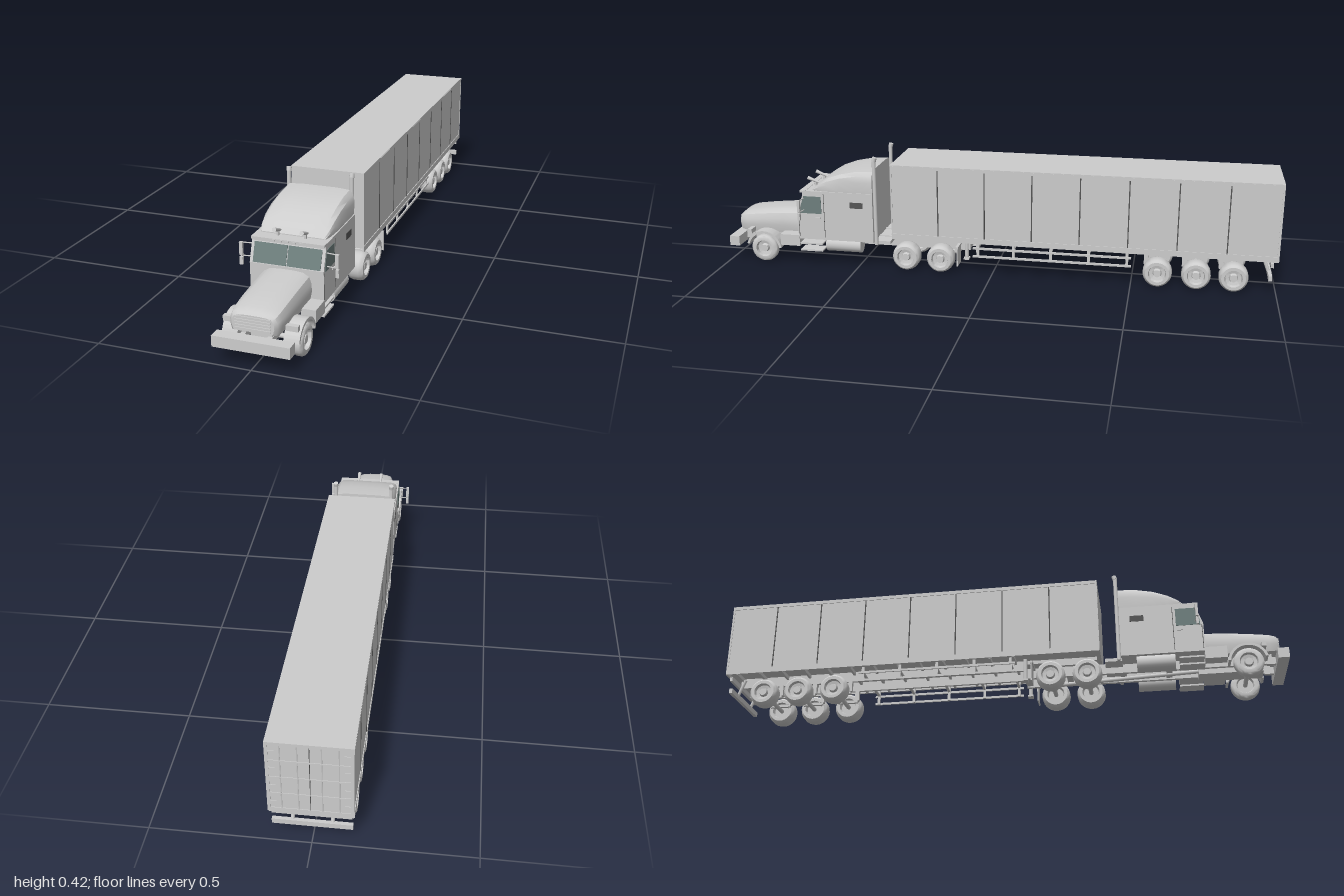
import * as THREE from 'three';
import { mergeVertices, toCreasedNormals } from 'three/addons/utils/BufferGeometryUtils.js';

export function createModel() {
  const truck = new THREE.Group();
  truck.name = 'articulatedTruck';
  const grey = new THREE.MeshStandardMaterial({ color: 0xcccccc });
  grey.name = 'lightGrey';
  const glass = new THREE.MeshStandardMaterial({ color: 0x6e7f7d });
  glass.name = 'tintedGlass';
  const dark = new THREE.MeshStandardMaterial({ color: 0x555555 });
  dark.name = 'darkGrey';

  const add = (name, geo, mat = grey) => {
    const m = new THREE.Mesh(geo, mat);
    m.name = name;
    truck.add(m);
    return m;
  };
  // box given by its extents on each axis
  const box = (name, x0, x1, y0, y1, z0, z1, mat) => add(name,
    new THREE.BoxGeometry(Math.abs(x1 - x0), y1 - y0, z1 - z0)
      .translate((x0 + x1) / 2, (y0 + y1) / 2, (z0 + z1) / 2), mat);
  const pairBox = (name, x0, x1, ...rest) => {
    for (const s of [1, -1]) box(name, s * x0, s * x1, ...rest);
  };
  // round bar between two points
  const rod = (name, a, b, r, sides = 10, mat = grey) => {
    const p = new THREE.Vector3(...a), q = new THREE.Vector3(...b), d = q.clone().sub(p);
    const m = add(name, new THREE.CylinderGeometry(r, r, d.length(), sides), mat);
    m.position.copy(p).add(q).multiplyScalar(0.5);
    m.quaternion.setFromUnitVectors(new THREE.Vector3(0, 1, 0), d.normalize());
    return m;
  };
  // side profile of [z, y] points extruded between two x values
  const slab = (name, pts, x0, x1, mat) => {
    const shape = new THREE.Shape(pts.map(p => new THREE.Vector2(...p)));
    const geo = new THREE.ExtrudeGeometry(shape, { depth: x1 - x0, bevelEnabled: false, curveSegments: 16 });
    return add(name, geo.rotateY(-Math.PI / 2).translate(x1, 0, 0), mat);
  };
  // skin over mirrored half sections; each section is [z, half width, bottom, top]
  const loft = (name, half, sections, crease) => {
    const pos = [], idx = [], n = half.length * 2;
    for (const [z, w, y0, y1] of sections) {
      for (const [u, v] of half) pos.push(u * w, y0 + v * (y1 - y0), z);
      for (const [u, v] of [...half].reverse()) pos.push(-u * w, y0 + v * (y1 - y0), z);
    }
    for (let i = 0; i < sections.length - 1; i++) {
      for (let j = 0; j < n; j++) {
        const a = i * n + j, b = i * n + (j + 1) % n;
        idx.push(a, b, b + n, a, b + n, a + n);
      }
    }
    const last = (sections.length - 1) * n;
    for (let j = 1; j < n - 1; j++) idx.push(0, j + 1, j, last, last + j, last + j + 1);
    const geo = new THREE.BufferGeometry();
    geo.setAttribute('position', new THREE.Float32BufferAttribute(pos, 3));
    geo.setIndex(idx);
    return add(name, toCreasedNormals(mergeVertices(geo), crease));
  };

  // wheels: tyre, recessed rim and hub in one turned profile
  const R = 0.051;
  const wheel = (name, s, x0, x1, z) => {
    const w = x1 - x0, h = w / 2;
    const pts = [[0, -h * 0.5], [0.027, -h * 0.5], [0.031, -h], [0.042, -h], [0.048, -h * 0.8], [R, -h * 0.45],
      [R, h * 0.45], [0.048, h * 0.8], [0.042, h], [0.031, h], [0.028, h - 0.012], [0.016, h - 0.015],
      [0.013, h - 0.004], [0, h - 0.004]].map(p => new THREE.Vector2(...p));
    const geo = toCreasedNormals(new THREE.LatheGeometry(pts, 28), 0.7);
    add(name, geo.rotateZ(-s * Math.PI / 2).translate(s * (x0 + x1) / 2, R, z));
  };
  const axle = (name, x0, z) => {
    for (const s of [1, -1]) wheel(name + 'Wheel', s, x0, 0.122, z);
    rod(name + 'Axle', [-0.1, R, z], [0.1, R, z], 0.008);
  };
  axle('steer', 0.088, 0.865);
  for (const z of [0.318, 0.19]) {
    axle('drive', 0.066, z);
    add('differential', new THREE.SphereGeometry(0.019, 12, 8).translate(0, R, z));
  }
  for (const z of [-0.592, -0.726, -0.854]) axle('trailer', 0.068, z);

  // tractor frame
  pairBox('frameRail', 0.035, 0.047, 0.068, 0.105, 0.09, 0.95);
  for (const z of [0.1, 0.25, 0.44, 0.6, 0.75]) box('frameCrossMember', -0.036, 0.036, 0.073, 0.1, z - 0.01, z + 0.01);
  box('engineBlock', -0.034, 0.034, 0.05, 0.13, 0.7, 0.92);
  box('rearDeck', -0.1, 0.1, 0.09, 0.102, 0.38, 0.44);
  box('couplingPlate', -0.06, 0.06, 0.105, 0.125, 0.17, 0.34);
  rod('driveShaft', [0, 0.075, 0.7], [0, 0.055, 0.19], 0.007);
  box('bumper', -0.122, 0.122, 0.056, 0.092, 0.962, 1);
  pairBox('bumperBracket', 0.035, 0.05, 0.065, 0.09, 0.93, 0.965);
  pairBox('bumperLamp', 0.085, 0.11, 0.066, 0.08, 0.998, 1);

  // hood and grille
  loft('hood', [[0.92, 0], [1, 0.35], [0.99, 0.62], [0.9, 0.85], [0.66, 0.97], [0.3, 1]], [
    [0.722, 0.082, 0.103, 0.197], [0.8, 0.082, 0.103, 0.193], [0.88, 0.081, 0.103, 0.185],
    [0.945, 0.079, 0.103, 0.176], [0.968, 0.074, 0.106, 0.169], [0.976, 0.066, 0.11, 0.162]], 0.7);
  for (let i = 0; i < 5; i++) {
    const y = 0.117 + i * 0.009;
    box('grilleSlat', -0.056, 0.056, y, y + 0.004, 0.974, 0.979);
  }

  // front fenders and their rear skirts
  for (const s of [1, -1]) {
    const arch = new THREE.Shape();
    arch.absarc(0.865, R, 0.068, 0.25, Math.PI - 0.1, false);
    arch.absarc(0.865, R, 0.059, Math.PI - 0.1, 0.25, true);
    const geo = new THREE.ExtrudeGeometry(arch, { depth: 0.05, bevelEnabled: false, curveSegments: 18 });
    geo.rotateY(-Math.PI / 2).translate(s > 0 ? 0.122 : -0.072, 0, 0);
    add('fender', toCreasedNormals(geo, 0.6));
    box('fenderSkirt', s * 0.075, s * 0.122, 0.07, 0.112, 0.722, 0.797);
    box('headlamp', s * 0.08, s * 0.118, 0.105, 0.122, 0.912, 0.928);
  }

  // cab
  slab('cab', [[0.437, 0.1], [0.725, 0.1], [0.725, 0.205], [0.702, 0.27], [0.702, 0.285], [0.437, 0.285]], -0.121, 0.121);
  for (const s of [1, -1]) {
    const pane = new THREE.BoxGeometry(0.109, 0.064, 0.003);
    const m = add('windscreen', pane, glass);
    m.position.set(s * 0.056, 0.2375, 0.7145);
    m.rotation.x = -Math.atan2(0.023, 0.065);
    const x = s > 0 ? [0.12, 0.1225] : [-0.1225, -0.12];
    slab('doorWindow', [[0.632, 0.2], [0.715, 0.2], [0.713, 0.222], [0.698, 0.265], [0.632, 0.265]], ...x, glass);
    box('sleeperWindow', s * 0.12, s * 0.1225, 0.228, 0.25, 0.474, 0.522, dark);
    box('doorHandle', s * 0.12, s * 0.125, 0.182, 0.187, 0.635, 0.655);
    // door seams
    for (const z of [0.622, 0.72]) box('doorSeam', s * 0.12, s * 0.1215, 0.11, z > 0.7 ? 0.2 : 0.275, z - 0.001, z + 0.001, dark);
    // mirrors
    box('mirror', s * 0.152, s * 0.163, 0.215, 0.259, 0.7, 0.709);
    box('lowerMirror', s * 0.152, s * 0.163, 0.184, 0.21, 0.7, 0.709);
    rod('mirrorArm', [s * 0.12, 0.257, 0.698], [s * 0.157, 0.257, 0.703], 0.002, 6);
    rod('mirrorArm', [s * 0.12, 0.213, 0.698], [s * 0.157, 0.213, 0.703], 0.002, 6);
    // roof horns
    const horn = add('roofHorn', new THREE.CylinderGeometry(0.007, 0.004, 0.05, 12));
    horn.position.set(s * 0.045, 0.305, 0.683);
    horn.rotation.x = 1.2;
    box('hornMount', s * 0.042, s * 0.048, 0.283, 0.303, 0.672, 0.68);
    // exhaust stacks
    rod('exhaustStack', [s * 0.108, 0.09, 0.43], [s * 0.108, 0.41, 0.43], 0.007, 14);
    rod('exhaustTip', [s * 0.108, 0.406, 0.43], [s * 0.108, 0.42, 0.426], 0.0085, 14);
    // fuel tank and steps
    rod('fuelTank', [s * 0.09, 0.078, 0.49], [s * 0.09, 0.078, 0.622], 0.028, 20);
    box('cabStep', s * 0.07, s * 0.12, 0.052, 0.058, 0.635, 0.72);
    box('cabStep', s * 0.07, s * 0.12, 0.078, 0.084, 0.635, 0.72);
    box('tankBracket', s * 0.04, s * 0.07, 0.085, 0.1, 0.54, 0.57);
  }
  box('roofVisor', -0.12, 0.12, 0.278, 0.286, 0.69, 0.712);
  for (const x of [-0.045, -0.022, 0, 0.022, 0.045]) box('markerLamp', x - 0.005, x + 0.005, 0.279, 0.284, 0.711, 0.715);

  // sleeper roof fairing
  loft('roofFairing', [[0.98, 0], [1, 0.5], [0.97, 0.78], [0.86, 0.96], [0.5, 1]], [
    [0.437, 0.12, 0.284, 0.369], [0.5, 0.12, 0.284, 0.365], [0.56, 0.12, 0.284, 0.352],
    [0.61, 0.118, 0.284, 0.333], [0.645, 0.114, 0.284, 0.311], [0.668, 0.105, 0.284, 0.288]], 0.6);

  // trailer body
  const F = 0.365, B = -0.998;
  box('trailerBody', -0.126, 0.126, 0.135, 0.398, B, F);
  box('trailerRoof', -0.128, 0.128, 0.394, 0.4, B, F);
  pairBox('trailerTopRail', 0.125, 0.1285, 0.387, 0.397, B, F);
  pairBox('trailerBottomRail', 0.122, 0.1285, 0.123, 0.143, B, F);
  for (let i = 0; i <= 8; i++) {
    const z = F - 0.003 + (B - F + 0.006) * i / 8;
    pairBox('curtainPost', 0.125, 0.1275, 0.14, 0.39, z - 0.002, z + 0.002, i % 8 ? dark : grey);
  }

  // rear doors
  pairBox('doorFrameSide', 0.118, 0.128, 0.125, 0.4, -1, -0.994);
  box('doorFrameTop', -0.126, 0.126, 0.39, 0.4, -1, -0.994);
  box('doorFrameSill', -0.126, 0.126, 0.123, 0.14, -1, -0.994);
  box('doorGap', -0.001, 0.001, 0.14, 0.39, -0.9995, -0.997, dark);
  for (const x of [-0.085, -0.035, 0.035, 0.085]) rod('lockRod', [x, 0.138, -0.998], [x, 0.392, -0.998], 0.002, 6);
  for (const y of [0.2, 0.265, 0.33]) box('doorRib', -0.118, 0.118, y - 0.002, y + 0.002, -1, -0.997);
  for (const y of [0.165, 0.23, 0.3, 0.365]) pairBox('doorHinge', 0.1, 0.122, y - 0.003, y + 0.003, -1, -0.997);

  // trailer underframe
  pairBox('trailerBeam', 0.04, 0.05, 0.098, 0.136, -0.97, 0.1);
  pairBox('trailerBeamNeck', 0.04, 0.05, 0.122, 0.136, 0.1, 0.35);
  for (let i = 0; i < 13; i++) {
    const z = 0.06 - i * 0.085;
    box('floorCrossMember', -0.122, 0.122, 0.122, 0.136, z - 0.004, z + 0.004);
  }
  for (const z of [-0.592, -0.726, -0.854]) {
    pairBox('suspensionHanger', 0.038, 0.052, 0.06, 0.1, z + 0.035, z + 0.05);
    pairBox('suspensionArm', 0.04, 0.05, 0.052, 0.062, z - 0.03, z + 0.045);
  }

  // side guards
  for (const [y0, y1] of [[0.068, 0.076], [0.098, 0.106]]) pairBox('sideGuardRail', 0.114, 0.119, y0, y1, -0.5, 0.067);
  for (const z of [0.05, -0.08, -0.215, -0.35, -0.485]) {
    pairBox('sideGuardPost', 0.108, 0.114, 0.068, 0.125, z - 0.005, z + 0.005);
    pairBox('sideGuardBracket', 0.045, 0.112, 0.1, 0.106, z - 0.004, z + 0.004);
  }

  // landing legs and mud flaps
  for (const s of [1, -1]) {
    box('mudFlap', s * 0.068, s * 0.122, 0.03, 0.1, 0.122, 0.126);
    box('flapBracket', s * 0.04, s * 0.122, 0.096, 0.104, 0.12, 0.13);
    rod('landingLeg', [s * 0.075, 0.05, 0.098], [s * 0.075, 0.13, 0.098], 0.007, 8);
    box('landingFoot', s * 0.062, s * 0.088, 0.045, 0.051, 0.088, 0.108);
    rod('underrunStrut', [s * 0.06, 0.125, -0.95], [s * 0.06, 0.06, -0.975], 0.006, 8);
  }
  box('underrunBar', -0.122, 0.122, 0.052, 0.07, -0.982, -0.97);
  box('lampBar', -0.12, 0.12, 0.1, 0.115, -0.985, -0.975);
  return truck;
}
